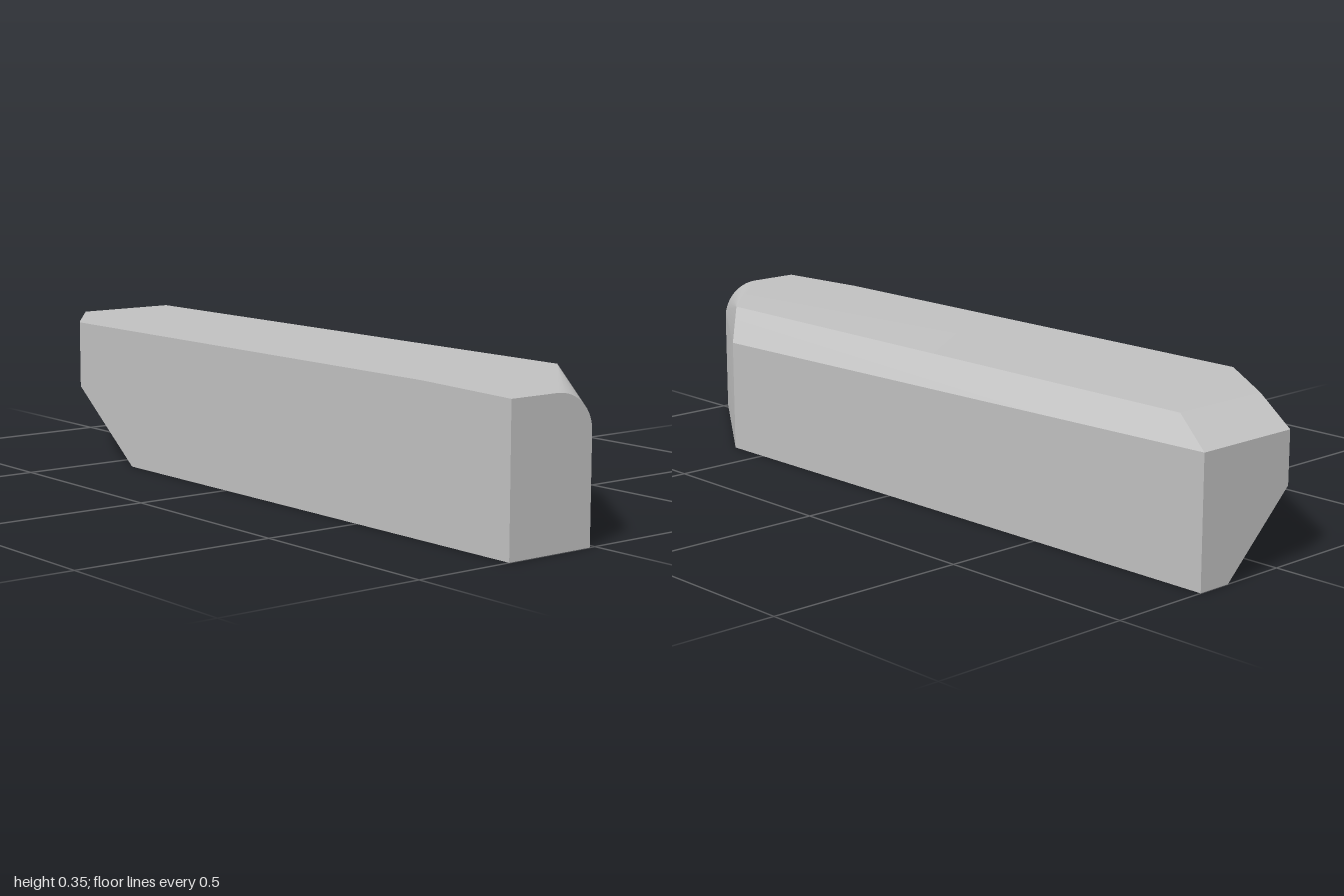
import * as THREE from 'three';
import { ConvexGeometry } from 'three/addons/geometries/ConvexGeometry.js';
import { toCreasedNormals } from 'three/addons/utils/BufferGeometryUtils.js';

const L = -0.252, R = 0.251, TOP = 0.352;

export function createModel() {
  const gray = new THREE.MeshStandardMaterial({ color: 0xc0c0c0 });
  gray.name = 'plain gray';

  const corners = [];
  const add = (...list) => list.forEach(p => corners.push(new THREE.Vector3(...p)));

  // base outline
  add([0.163, 0, -1], [R, 0, -1], [R, 0, 0.615], [-0.015, 0, 1], [L, 0, 1], [L, 0, -0.41]);

  // cut back corner: upright wall above an undercut slope
  add([-0.03, 0.182, -1], [L, 0.182, -0.65], [-0.03, 0.308, -1], [L, TOP, -0.65]);

  // flat top, with the slopes falling to the back and the +x side
  add([-0.103, TOP, -0.855], [0.165, TOP, -0.855], [0.165, TOP, 0.71], [L, TOP, 0.72]);
  add([R, 0.308, -1], [R, 0.282, 0.615]);

  // front end: slight drop, then a quarter round that tapers to the top corner
  add([L, 0.345, 1]);
  const steps = 14;
  for (let i = 0; i <= steps; i++) {
    const a = (i / steps) * Math.PI / 2;
    add([-0.12 + 0.105 * Math.sin(a), 0.255 + 0.09 * Math.cos(a), 1]);
  }

  // the block is convex, so its hull gives all faces; only gentle edges are smoothed
  const block = new THREE.Mesh(toCreasedNormals(new ConvexGeometry(corners), 0.25), gray);
  block.name = 'chamferedBlock';

  const model = new THREE.Group();
  model.name = 'block';
  model.add(block);
  return model;
}
